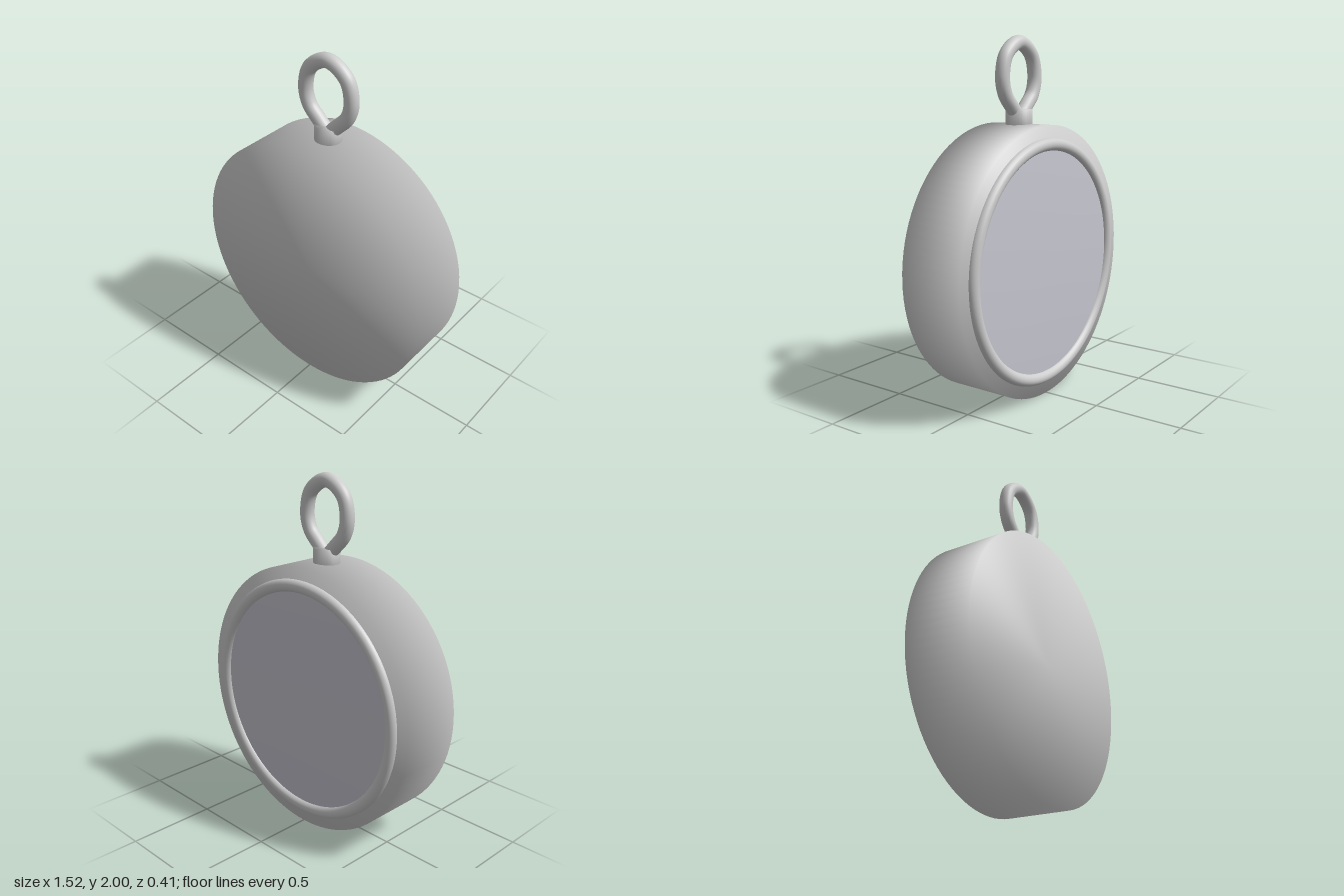
import * as THREE from 'three';
import { mergeVertices } from 'three/addons/utils/BufferGeometryUtils.js';

const grey = new THREE.MeshStandardMaterial({ color: 0xcccccc });
const glassGrey = new THREE.MeshStandardMaterial({ color: 0xc6c6d0 });

// Cylinder whose caps and side share smooth normals
function smoothCylinder(radius, height, segments) {
  const g = new THREE.CylinderGeometry(radius, radius, height, segments);
  g.deleteAttribute('normal');
  g.deleteAttribute('uv');
  const welded = mergeVertices(g);
  welded.computeVertexNormals();
  return welded;
}

export function createModel() {
  const model = new THREE.Group();
  model.name = 'pendant';

  function add(name, geometry, x, y, z, material = grey) {
    const mesh = new THREE.Mesh(geometry, material);
    mesh.name = name;
    mesh.position.set(x, y, z);
    model.add(mesh);
    return mesh;
  }

  const centreY = 0.76;

  // Thick round case, front at z = 0.205, back at z = -0.17
  add('case', smoothCylinder(0.76, 0.375, 96).rotateX(Math.PI / 2), 0, centreY, 0.0175);

  // Raised rim and glass on the back
  add('backRim', new THREE.TorusGeometry(0.655, 0.035, 20, 96), 0, centreY, -0.17);
  add('backGlass', smoothCylinder(0.65, 0.02, 96).rotateX(Math.PI / 2), 0, centreY, -0.17, glassGrey);

  // Neck and teardrop hanging loop
  add('neck', smoothCylinder(0.075, 0.12, 32), 0, 1.54, 0.02);
  const half = [[0.01, 1.56], [0.065, 1.615], [0.125, 1.68], [0.15, 1.77], [0.118, 1.893]];
  const points = [
    ...half.map(([x, y]) => new THREE.Vector3(x, y, 0)),
    new THREE.Vector3(0, 1.96, 0),
    ...half.slice().reverse().map(([x, y]) => new THREE.Vector3(-x, y, 0)),
  ];
  const path = new THREE.CatmullRomCurve3(points);
  add('hangingLoop', new THREE.TubeGeometry(path, 80, 0.04, 20), 0, 0, 0.02);

  return model;
}
